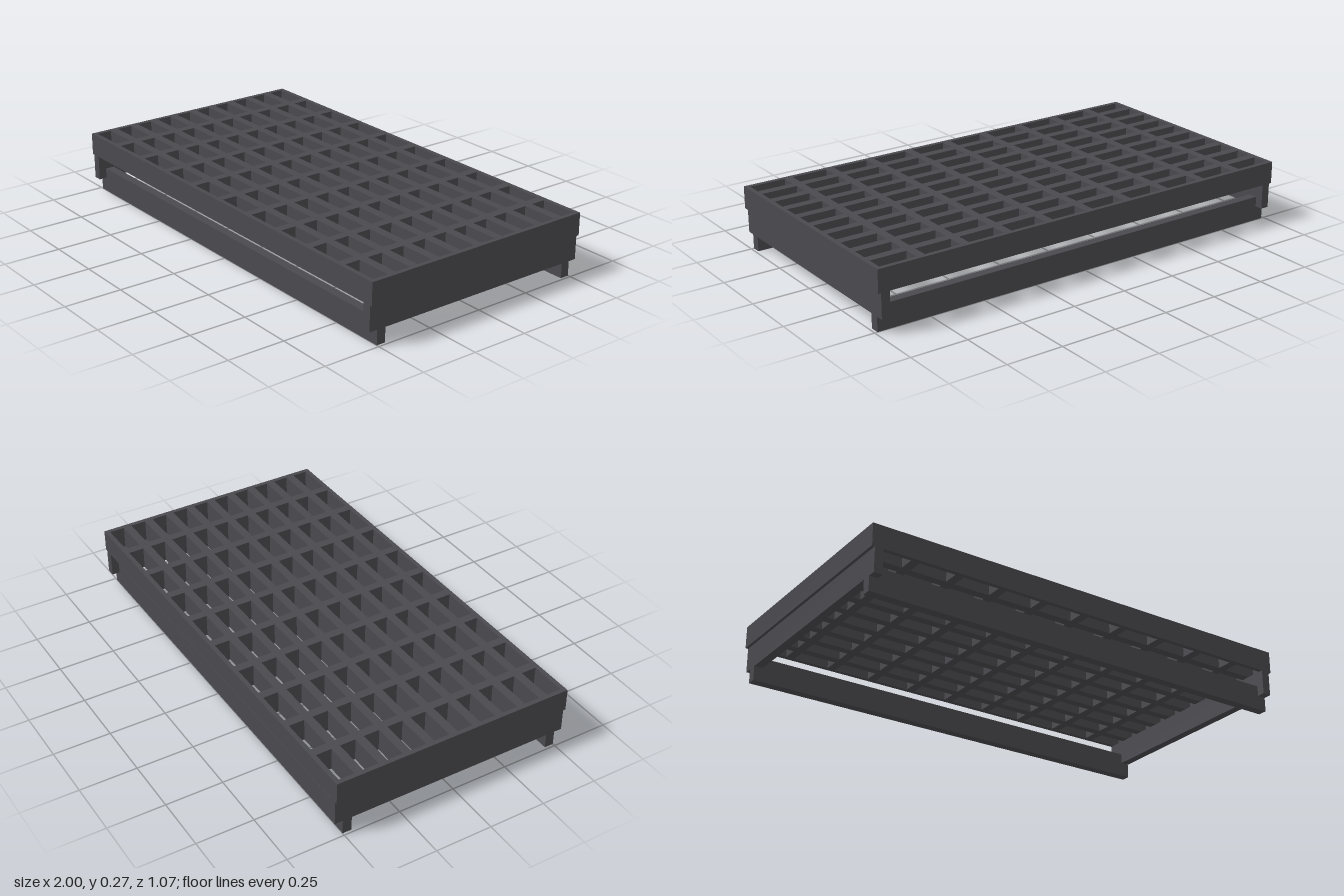
import * as THREE from 'three';

export function createModel() {
  const model = new THREE.Group();
  model.name = 'gratedPlatform';
  const material = new THREE.MeshStandardMaterial({ color: 0x4a494e });

  // Box given by its minimum and maximum on each axis
  function bar(name, parent, [x0, x1], [y0, y1], [z0, z1]) {
    const mesh = new THREE.Mesh(new THREE.BoxGeometry(x1 - x0, y1 - y0, z1 - z0), material);
    mesh.position.set((x0 + x1) / 2, (y0 + y1) / 2, (z0 + z1) / 2);
    mesh.name = name;
    parent.add(mesh);
  }
  const around = (c, w) => [c - w / 2, c + w / 2];

  const halfX = 1, halfZ = 0.535, edge = 0.02, slat = 0.038;
  const deckY = [0.173, 0.271];

  // Grating: outer frame with long slats crossed by short ones
  const grating = new THREE.Group();
  grating.name = 'grating';
  model.add(grating);
  for (const s of [-1, 1]) {
    bar('longFrameEdge', grating, [-halfX, halfX], deckY, around(s * (halfZ - edge / 2), edge));
    bar('shortFrameEdge', grating, around(s * (halfX - edge / 2), edge), deckY, [-halfZ + edge, halfZ - edge]);
  }
  const innerX = halfX - edge, innerZ = halfZ - edge;
  for (let i = -4; i <= 4; i++) {
    bar('longSlat', grating, [-innerX, innerX], deckY, around(i * halfZ / 5, slat));
  }

  // Short slats are cut into pieces between the long ones
  for (let i = -4; i <= 4; i++) {
    for (let j = -5; j < 5; j++) {
      const z0 = j === -5 ? -innerZ : j * halfZ / 5 + slat / 2;
      const z1 = j === 4 ? innerZ : (j + 1) * halfZ / 5 - slat / 2;
      bar('crossSlat', grating, around(i * 0.2, slat), deckY, [z0, z1]);
    }
  }

  // End rails under the grating, resting on two long floor beams
  for (const s of [-1, 1]) {
    bar('endRail', model, around(s * 0.969, 0.038), [0.064, 0.173], [-halfZ, halfZ]);
    bar('floorBeam', model, [-0.988, 0.988], [0, 0.109], around(s * 0.48, 0.04));
  }
  return model;
}
